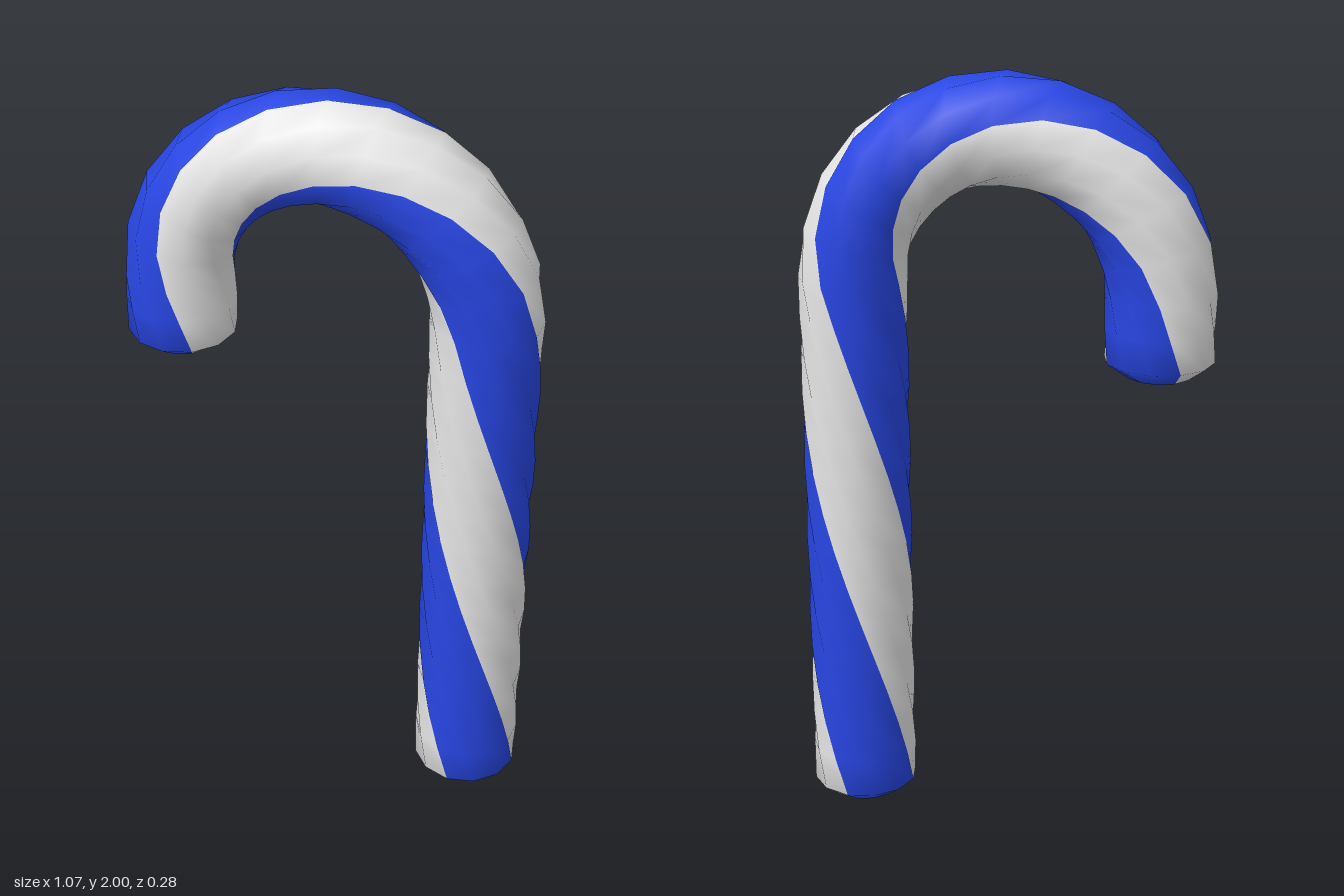
import * as THREE from 'three';

const SIDES = 12;          // sides of the round stick
const R = 0.14;            // stick radius
const CAP_R = 0.085;       // flat end radius
const BEND = 0.395;        // radius of the hook's centre line
const LEG = 1.47;          // height where the hook starts
const TIP = 0.21;          // straight length after the hook
const ARC = Math.PI * BEND;
const TOTAL = LEG + ARC + TIP;
const QUARTER = 0.665;     // length over which the stripes turn 90 degrees

// Centre point and outward direction at distance s along the cane
function frame(s) {
  if (s <= LEG) return { x: BEND, y: s, nx: 1, ny: 0 };
  if (s >= LEG + ARC) return { x: -BEND, y: LEG - (s - LEG - ARC), nx: -1, ny: 0 };
  const a = (s - LEG) / BEND;
  const nx = Math.cos(a), ny = Math.sin(a);
  return { x: BEND * nx, y: LEG + BEND * ny, nx, ny };
}

// Rings as [distance, radius]: bevelled end, leg, hook, tip, bevelled end
function stations() {
  const list = [[0, 0], [0, CAP_R]];
  for (let i = 0; i <= 14; i++) list.push([0.04 + (LEG - 0.04) * i / 14, R]);
  for (let i = 1; i <= 12; i++) list.push([LEG + ARC * i / 12, R]);
  for (let i = 1; i <= 2; i++) list.push([LEG + ARC + (TIP - 0.04) * i / 2, R]);
  list.push([TOTAL, CAP_R], [TOTAL, 0]);
  return list;
}

function caneGeometry() {
  const rings = stations();
  const positions = [];
  for (const [s, r] of rings) {
    const f = frame(s);
    const twist = (s / QUARTER) * Math.PI / 2;
    for (let j = 0; j < SIDES; j++) {
      const a = twist + j * 2 * Math.PI / SIDES;
      const out = r * Math.cos(a);
      positions.push(f.x + f.nx * out, f.y + f.ny * out, r * Math.sin(a));
    }
  }
  // Faces sorted by stripe colour: three sides blue, three sides white, repeated
  const faces = [[], []];
  const last = rings.length - 2;
  for (let i = 0; i <= last; i++) {
    for (let j = 0; j < SIDES; j++) {
      const k = (j + 1) % SIDES;
      const a = i * SIDES + j, b = i * SIDES + k;
      const c = a + SIDES, d = b + SIDES;
      const stripe = faces[Math.floor(j / 3) % 2];
      if (i < last) stripe.push(a, c, d);
      if (i > 0) stripe.push(a, d, b);
    }
  }
  // The last ring closes to a point
  const g = new THREE.BufferGeometry();
  for (let j = 0; j < SIDES; j++) {
    // the quad's second triangle (a, d, b) already spans rim, centre, rim
  }
  g.setAttribute('position', new THREE.Float32BufferAttribute(positions, 3));
  g.setIndex([...faces[0], ...faces[1]]);
  g.addGroup(0, faces[0].length, 0);
  g.addGroup(faces[0].length, faces[1].length, 1);
  g.computeVertexNormals();
  return g;
}

export function createModel() {
  const blue = new THREE.MeshStandardMaterial({ color: 0x2846e4 });
  blue.name = 'stripe blue';
  const white = new THREE.MeshStandardMaterial({ color: 0xe7e7e7 });
  white.name = 'candy white';

  const group = new THREE.Group();
  group.name = 'candyCane';
  const cane = new THREE.Mesh(caneGeometry(), [blue, white]);
  cane.name = 'stripedCane';
  group.add(cane);
  return group;
}
